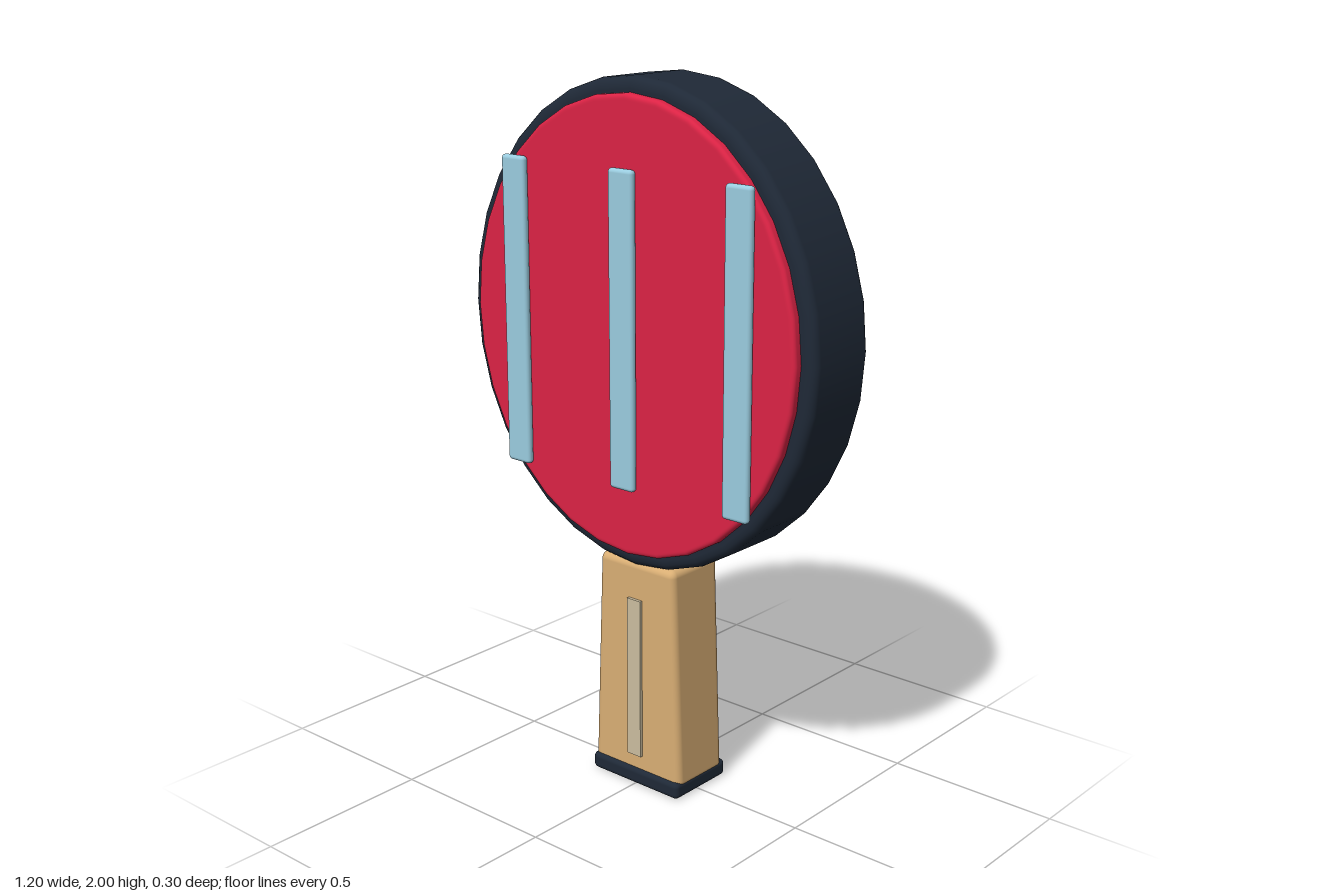
import * as THREE from 'three';
import { RoundedBoxGeometry } from 'three/addons/geometries/RoundedBoxGeometry.js';

const mat = (name, color) => {
  const m = new THREE.MeshStandardMaterial({ color });
  m.name = name;
  return m;
};

// Oval disc facing z with rounded rims, spanning z0..z1
function ovalDisc(rx, ry, z0, z1, bevel) {
  const pts = [new THREE.Vector2(0, z0), new THREE.Vector2(rx - bevel - 0.004, z0)];
  const corner = (cz, start) => {
    for (let i = 0; i <= 4; i++) {
      const a = start + (i / 4) * Math.PI / 2;
      pts.push(new THREE.Vector2(rx - bevel + bevel * Math.cos(a), cz + bevel * Math.sin(a)));
    }
  };
  corner(z0 + bevel, -Math.PI / 2);
  corner(z1 - bevel, 0);
  pts.push(new THREE.Vector2(rx - bevel - 0.004, z1), new THREE.Vector2(0, z1));
  const g = new THREE.LatheGeometry(pts, 32);
  g.rotateX(Math.PI / 2);
  g.scale(1, ry / rx, 1);
  return g;
}

export function createModel() {
  const group = new THREE.Group();
  const dark = mat('dark navy', 0x1f2937);
  const red = mat('red rubber', 0xdc2345);
  const wood = mat('light wood', 0xd9ae74);
  const blue = mat('pale blue', 0x9accdf);
  const grey = mat('inlay beige', 0xcbbd9f);

  const add = (name, geometry, material, x = 0, y = 0, z = 0) => {
    const mesh = new THREE.Mesh(geometry, material);
    mesh.name = name;
    mesh.position.set(x, y, z);
    group.add(mesh);
    return mesh;
  };

  // Blade with a rubber pad on each face
  const cy = 1.335;
  add('blade', ovalDisc(0.6, 0.665, -0.13, 0.102, 0.025), dark, 0, cy);
  add('frontPad', ovalDisc(0.557, 0.623, 0.09, 0.127, 0.011), red, 0, cy);
  add('backPad', ovalDisc(0.557, 0.623, -0.154, -0.11, 0.011), dark, 0, cy);

  // Raised strips on the front pad
  for (const x of [-0.388, 0, 0.388]) {
    add('frontStrip', new RoundedBoxGeometry(0.084, 0.866, 0.024, 3, 0.011), blue, x, 1.335, 0.138);
  }

  // Handle, narrowing towards the blade
  const h = 0.65;
  const handle = new RoundedBoxGeometry(0.32, h, 0.195, 3, 0.022);
  const p = handle.attributes.position;
  for (let i = 0; i < p.count; i++) {
    const t = p.getY(i) / h + 0.5;
    p.setX(i, p.getX(i) * (1 - 0.165 * t));
  }
  add('handle', handle, wood, 0, 0.03 + h / 2, -0.0075);

  // End cap and front inlay
  add('endCap', new RoundedBoxGeometry(0.32, 0.05, 0.218, 3, 0.015), dark, 0, 0.028, -0.009);
  add('handleInlay', new THREE.BoxGeometry(0.048, 0.475, 0.009), grey, 0, 0.332, 0.0945);

  return group;
}
